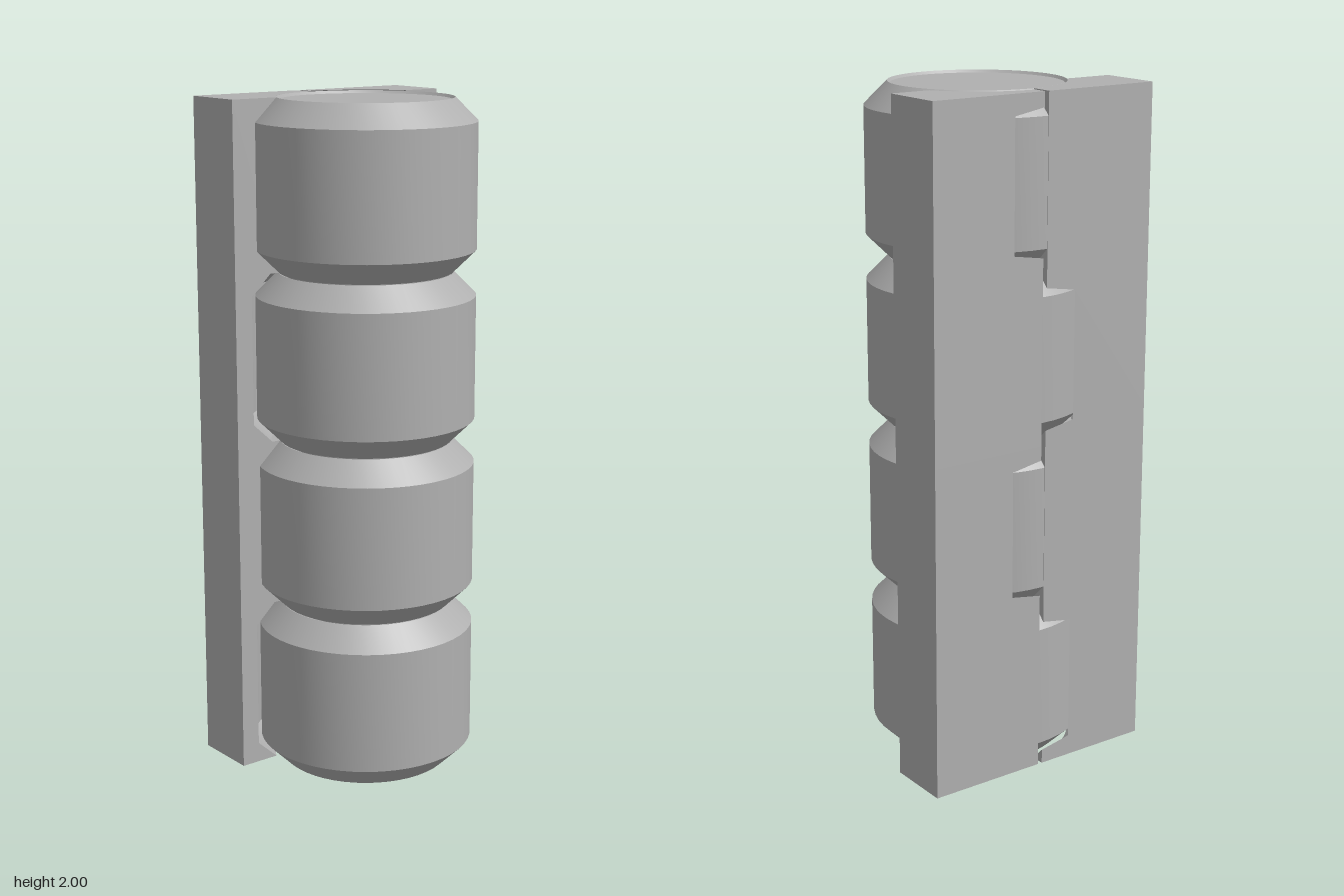
import * as THREE from 'three';
import { toCreasedNormals } from 'three/addons/utils/BufferGeometryUtils.js';

const SEG = 0.5;                       // height of one knuckle
const OUTER = 0.372, BACK = -0.323, FRONT = -0.127, SEAM = 0.007;
const ARC = 16;

// Barrel knuckle with chamfered rims and shallow recessed ends
function knuckleGeometry() {
  const g = 0.002, d = 0.008;
  const profile = [
    [0, g + d], [0.248, g + d], [0.255, g], [0.322, 0.068],
    [0.322, SEG - 0.067], [0.255, SEG], [0.248, SEG - d], [0, SEG - d],
  ].map(([x, y]) => new THREE.Vector2(x, y));
  return toCreasedNormals(new THREE.LatheGeometry(profile, 48), 0.5);
}

// Leaf cross-section on the +x side, hollowed by a circle of radius r
function leafSection(r) {
  const inner = r > -BACK ? Math.sqrt(r * r - BACK * BACK) : 0;
  const xs = Math.max(SEAM, inner);
  const pts = [[OUTER, FRONT], [OUTER, BACK], [xs, BACK]];
  const a0 = Math.acos(xs / r), a1 = Math.asin(-FRONT / r);
  for (let i = 0; i <= ARC; i++) {
    const a = a0 + (a1 - a0) * i / ARC;
    pts.push([r * Math.cos(a), -r * Math.sin(a)]);
  }
  return pts;
}

// Leaf lofted up through alternating joined and clearance segments
function leafGeometry(side, ownsEven) {
  const levels = [];
  for (let k = 0; k < 4; k++) {
    const y = k * SEG;
    if ((k % 2 === 0) === ownsEven) {
      levels.push([y, 0.255], [y + SEG, 0.255]);
    } else {
      levels.push([y, 0.28], [y + 0.043, 0.323], [y + 0.06, 0.34],
        [y + SEG - 0.06, 0.34], [y + SEG - 0.043, 0.323], [y + SEG, 0.28]);
    }
  }
  const pos = [], index = [];
  for (const [y, r] of levels) {
    for (const [x, z] of leafSection(r)) pos.push(side * x, y, z);
  }
  const n = ARC + 4;
  const tri = (a, b, c) => (side > 0 ? index.push(a, b, c) : index.push(a, c, b));
  for (let l = 0; l < levels.length - 1; l++) {
    for (let i = 0; i < n; i++) {
      const a = l * n + i, b = l * n + (i + 1) % n;
      tri(a, b, b + n);
      tri(a, b + n, a + n);
    }
  }
  // End caps fanned from the outer back corner
  const top = (levels.length - 1) * n;
  for (let i = 2; i < n; i++) {
    const j = (i + 1) % n;
    tri(top + 1, top + i, top + j);
    tri(1, j, i);
  }
  const geo = new THREE.BufferGeometry();
  geo.setAttribute('position', new THREE.Float32BufferAttribute(pos, 3));
  geo.setIndex(index);
  return toCreasedNormals(geo, 0.5);
}

export function createModel() {
  const model = new THREE.Group();
  model.name = 'hinge';
  const grey = new THREE.MeshStandardMaterial({ color: 0xb0b0b0 });
  grey.name = 'grey';

  const add = (name, geo, parent) => {
    const mesh = new THREE.Mesh(geo, grey);
    mesh.name = name;
    parent.add(mesh);
    return mesh;
  };

  // Two leaves, each carrying every second knuckle
  const knuckle = knuckleGeometry();
  for (const [name, side, first] of [['leftLeaf', 1, 0], ['rightLeaf', -1, 1]]) {
    const leaf = new THREE.Group();
    leaf.name = name;
    model.add(leaf);
    add(name + 'Plate', leafGeometry(side, first === 0), leaf);
    for (let k = first; k < 4; k += 2) {
      add(name + 'Knuckle', knuckle, leaf).position.y = k * SEG;
    }
  }

  // Hidden pin joining the knuckles
  add('pin', new THREE.CylinderGeometry(0.235, 0.235, 1.9, 32), model).position.y = 1;
  return model;
}
